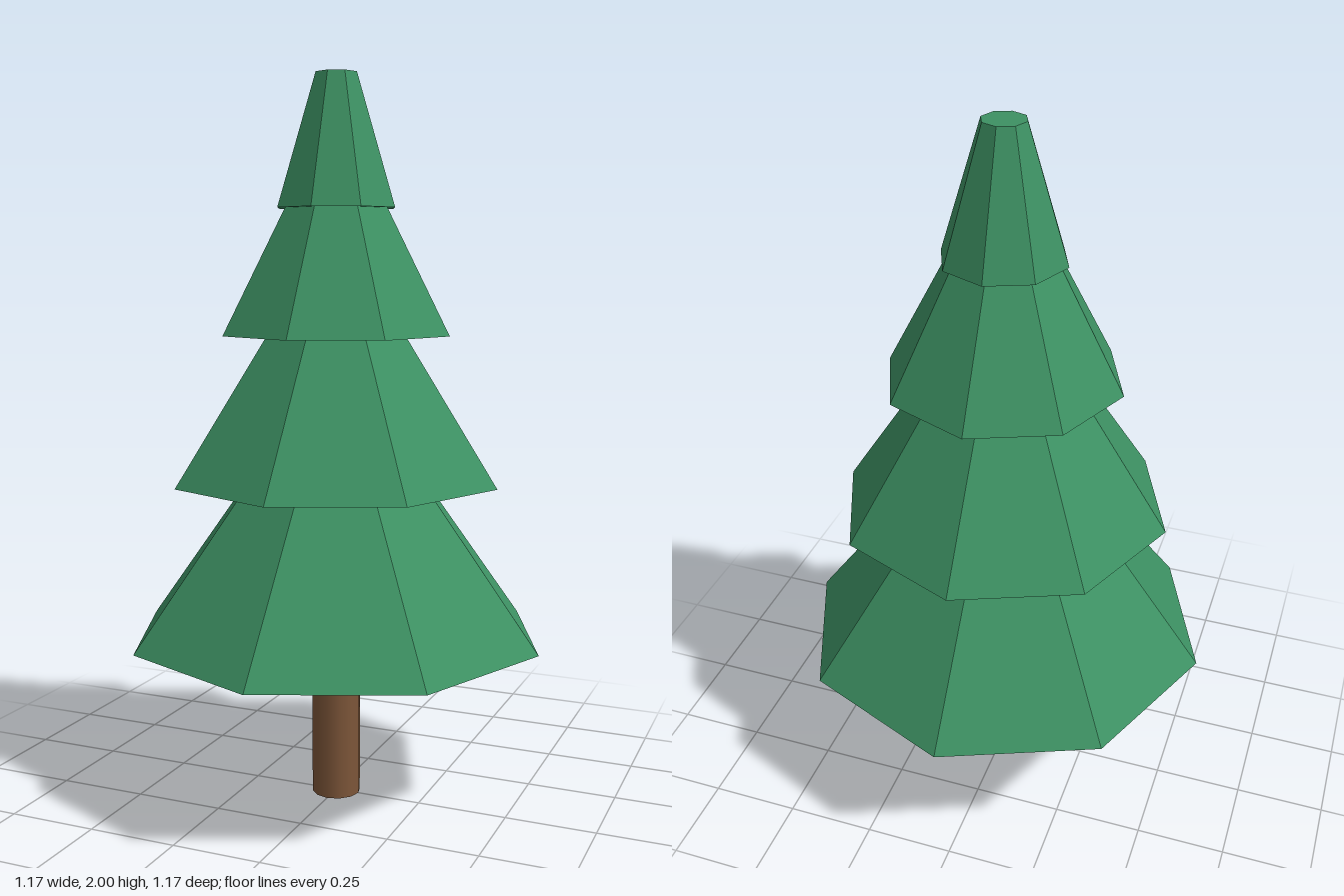
import * as THREE from 'three';

export function createModel() {
  const tree = new THREE.Group();
  tree.name = 'pineTree';

  const needleGreen = new THREE.MeshStandardMaterial({ color: 0x3d9163, flatShading: true });
  needleGreen.name = 'needleGreen';
  const barkBrown = new THREE.MeshStandardMaterial({ color: 0x7d5639 });
  barkBrown.name = 'barkBrown';

  // Upright tapered cylinder placed by its bottom and top heights
  const addFrustum = (name, topRadius, bottomRadius, bottom, top, sides, material) => {
    const geometry = new THREE.CylinderGeometry(topRadius, bottomRadius, top - bottom, sides);
    const mesh = new THREE.Mesh(geometry, material);
    mesh.name = name;
    mesh.position.y = (bottom + top) / 2;
    tree.add(mesh);
  };

  // Smooth round trunk
  addFrustum('trunk', 0.068, 0.068, 0, 0.47, 12, barkBrown);

  // Four stacked eight-sided skirts: bottom height, top height, bottom radius, top radius
  const tiers = [
    [0.466, 0.906, 0.583, 0.257],
    [0.906, 1.307, 0.462, 0.2],
    [1.307, 1.645, 0.325, 0.147],
    [1.645, 2, 0.169, 0.059],
  ];
  tiers.forEach(([bottom, top, bottomRadius, topRadius], i) => {
    addFrustum(`foliageTier${i + 1}`, topRadius, bottomRadius, bottom, top, 8, needleGreen);
  });

  return tree;
}
